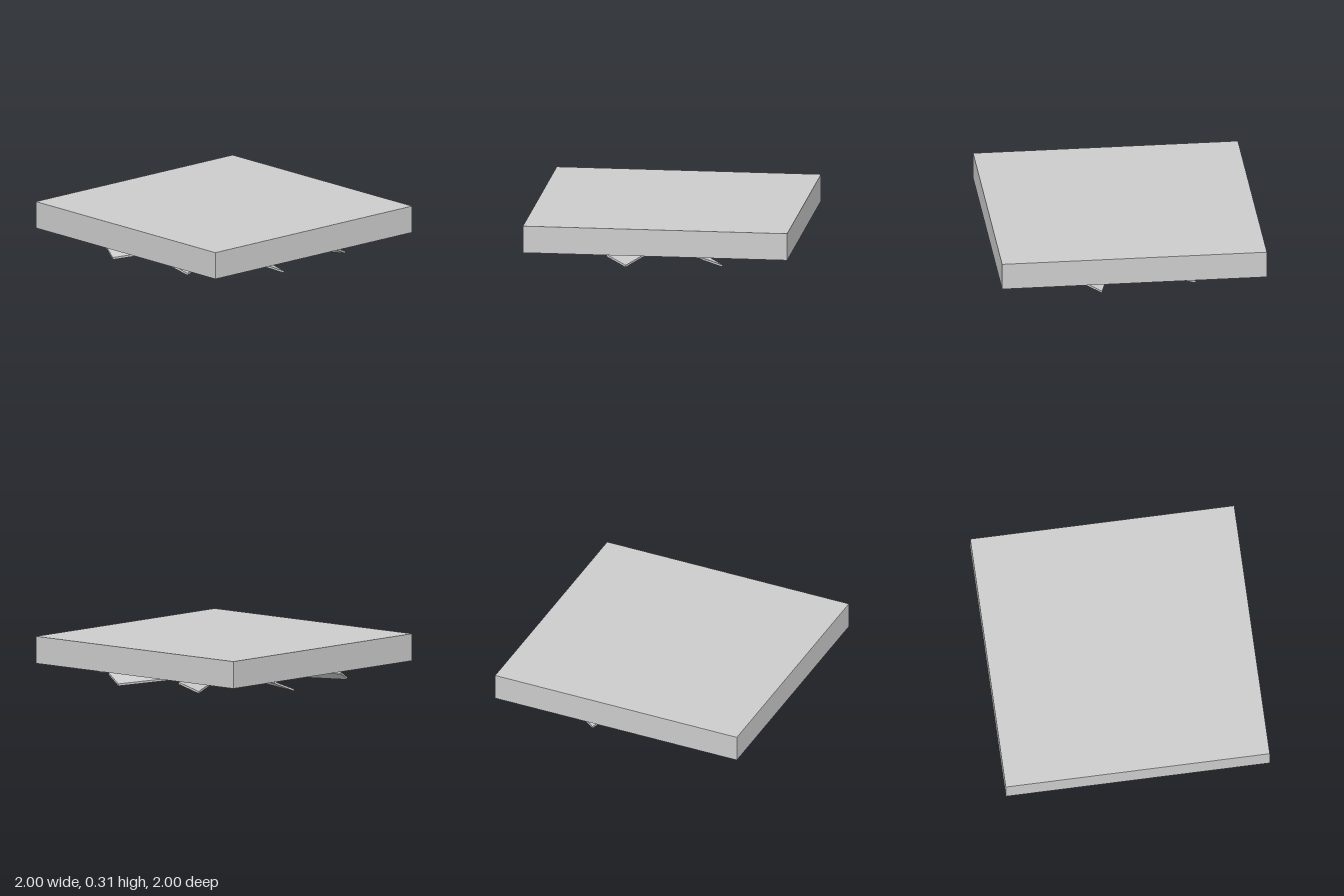
import * as THREE from 'three';

const material = new THREE.MeshStandardMaterial({ color: 0xcccccc });
const BLADES = 8;

function add(parent, name, geometry, y = 0) {
  const mesh = new THREE.Mesh(geometry, material);
  mesh.name = name;
  mesh.position.y = y;
  parent.add(mesh);
  return mesh;
}

// A flat bar along +x, pitched across its width and drooping slightly to the tip
function bladeGeometry() {
  const inner = 0.2, outer = 0.95, width = 0.16, thick = 0.016, offset = 0.058;
  const g = new THREE.BoxGeometry(1, thick, width).toNonIndexed();
  const p = g.attributes.position;
  for (let i = 0; i < p.count; i++) {
    const along = p.getX(i) + 0.5;
    const across = p.getZ(i) / width + 0.5; // 0 = low edge, 1 = high edge
    const low = THREE.MathUtils.lerp(0.022, 0.008, along);
    const end = outer - 0.015 * across;
    p.setXYZ(
      i,
      THREE.MathUtils.lerp(inner, end, along),
      p.getY(i) + THREE.MathUtils.lerp(low, 0.073, across),
      p.getZ(i) + offset
    );
  }
  g.computeVertexNormals();
  return g;
}

export function createModel() {
  const model = new THREE.Group();
  model.name = 'ceilingFan';

  // Square panel above the fan
  add(model, 'ceilingPanel', new THREE.BoxGeometry(2, 0.205, 2), 0.2095);

  // Round hub with the pitched blades around it
  const fan = new THREE.Group();
  fan.name = 'fan';
  fan.position.z = 0.004;
  model.add(fan);
  add(fan, 'hub', new THREE.CylinderGeometry(0.31, 0.31, 0.085, 48), 0.0535);

  const blade = bladeGeometry();
  for (let i = 0; i < BLADES; i++) {
    const angle = THREE.MathUtils.degToRad(15.5) + (i * 2 * Math.PI) / BLADES;
    add(fan, 'blade', blade).rotation.y = -angle;
  }
  return model;
}
